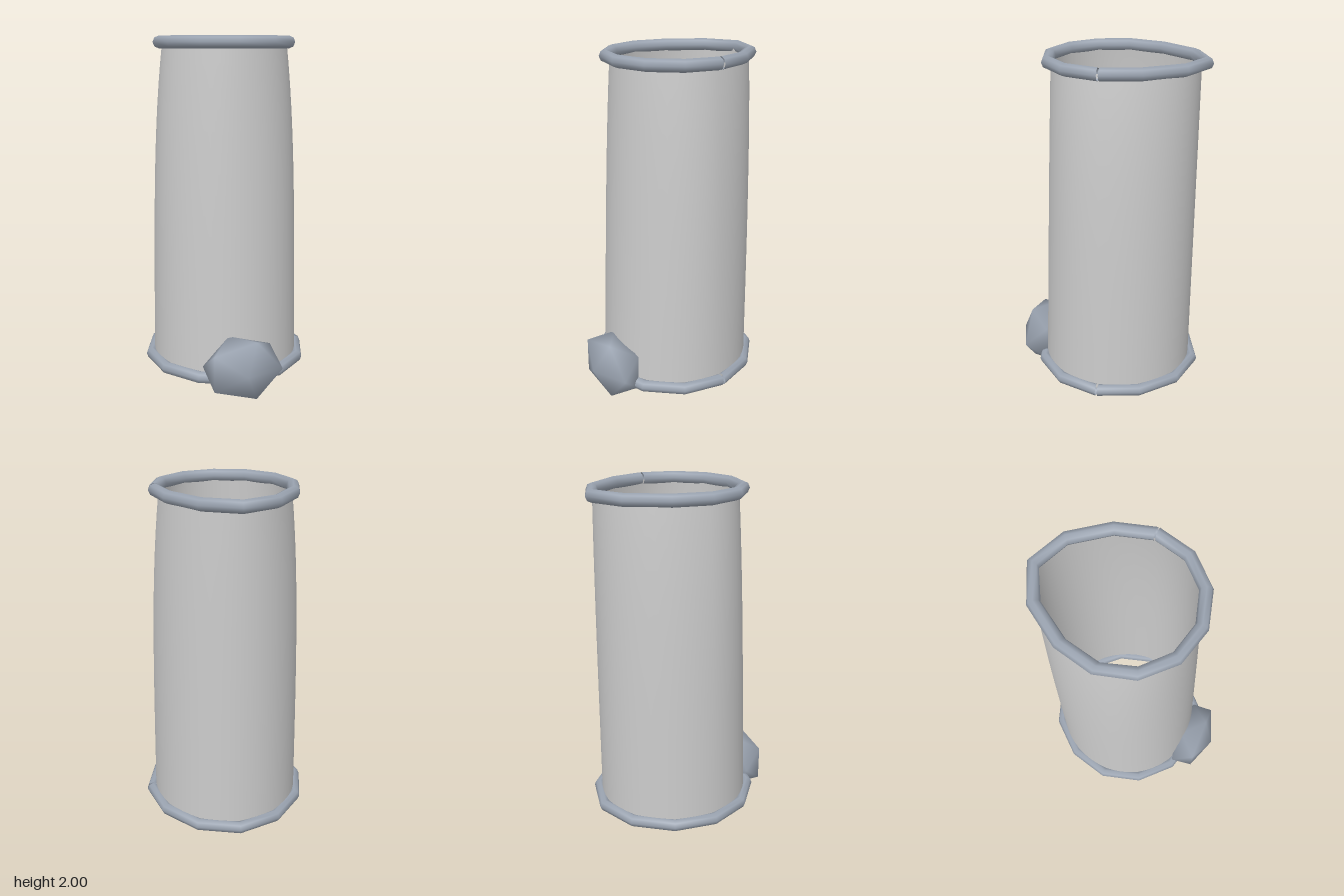
import * as THREE from 'three';
import { ParametricGeometry } from 'three/addons/geometries/ParametricGeometry.js';

const CENTRE_Z = -0.04;

// Open low-poly loop: round at the front, drawn out to a peak at the back
class RingCurve extends THREE.Curve {
  constructor(radius, y) {
    super();
    this.radius = radius;
    this.y = y;
  }
  getPoint(t, target = new THREE.Vector3()) {
    const a = 0.012 + t * (Math.PI * 2 - 0.024);
    const s = Math.sin(a);
    const depth = s > 0 ? this.radius + (0.49 - this.radius) * s * s : this.radius;
    return target.set(this.radius * Math.cos(a), this.y, CENTRE_Z - depth * s);
  }
  getPointAt(t, target) {
    return this.getPoint(t, target);
  }
}

// Faceted knob: two rings of five corners between a front and a rear pole
function knobGeometry(rx, ry, rz) {
  const pos = [0, 0, rz, 0, 0, -rz];
  const ring = 2 / Math.sqrt(5);
  for (let k = 0; k < 2; k++) {
    for (let i = 0; i < 5; i++) {
      const a = (i * 2 + k) * Math.PI / 5;
      pos.push(rx * ring * Math.cos(a), ry * ring * Math.sin(a), (k ? -1 : 1) * rz / Math.sqrt(5));
    }
  }
  const index = [];
  for (let i = 0; i < 5; i++) {
    const f = 2 + i, fn = 2 + (i + 1) % 5, b = 7 + i, bn = 7 + (i + 1) % 5;
    index.push(0, f, fn, f, b, fn, fn, b, bn, 1, bn, b);
  }
  const g = new THREE.BufferGeometry();
  g.setAttribute('position', new THREE.Float32BufferAttribute(pos, 3));
  g.setIndex(index);
  g.computeVertexNormals();
  return g;
}

export function createModel() {
  const model = new THREE.Group();
  const shellMat = new THREE.MeshStandardMaterial({ color: 0xcccccc, side: THREE.DoubleSide });
  const trimMat = new THREE.MeshStandardMaterial({ color: 0x9aa3b0, side: THREE.DoubleSide });
  const add = (name, geometry, material) => {
    const mesh = new THREE.Mesh(geometry, material);
    mesh.name = name;
    model.add(mesh);
    return mesh;
  };

  // Tapered open sleeve, nearly straight along the back
  add('sleeve', new ParametricGeometry((u, v, p) => {
    const a = u * Math.PI * 2;
    const s = Math.sin(a);
    const width = 0.435 - 0.03 * v - 0.05 * v ** 4;
    const depth = s > 0 ? 0.465 - 0.005 * v : 0.435 - 0.08 * v;
    p.set(width * Math.cos(a), 0.1 + 1.86 * v, CENTRE_Z - depth * s);
  }, 48, 16), shellMat);

  // Rolled rims
  for (const [name, radius, y] of [['bottomRim', 0.455, 0.1], ['topRim', 0.378, 1.965]]) {
    add(name, new THREE.TubeGeometry(new RingCurve(radius, y), 12, 0.035, 8, false), trimMat);
  }

  // Knob on the lower front
  add('knob', knobGeometry(0.243, 0.2, 0.14), trimMat).position.set(0, 0.17, 0.427);

  return model;
}
